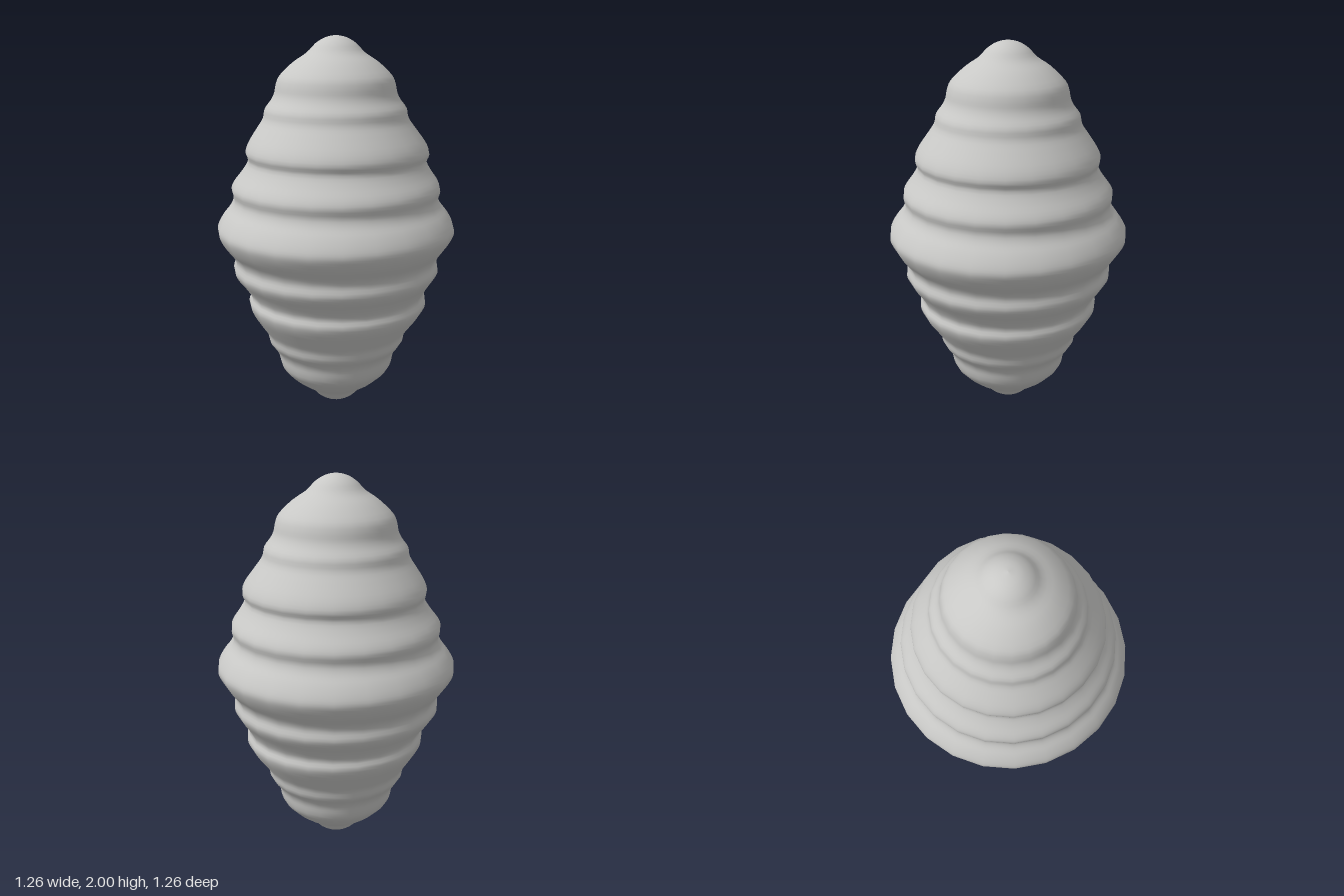
import * as THREE from 'three';

export function createModel() {
  const group = new THREE.Group();
  const stone = new THREE.MeshStandardMaterial({ color: 0xc8c8c6 });
  stone.name = 'pale grey';

  // Half profile [radius, height above the middle], rippling towards the tip
  const half = [
    [0.63, 0], [0.618, 0.04], [0.59, 0.086], [0.555, 0.13], [0.541, 0.17],
    [0.551, 0.215], [0.535, 0.256], [0.495, 0.31], [0.468, 0.362], [0.481, 0.405],
    [0.462, 0.457], [0.415, 0.526], [0.379, 0.58], [0.368, 0.63], [0.335, 0.675],
    [0.318, 0.71], [0.309, 0.754], [0.288, 0.8], [0.22, 0.865], [0.15, 0.912],
    [0.105, 0.958], [0.055, 0.988], [0, 1],
  ];
  const lower = half.slice(1).reverse().map(([r, y]) => new THREE.Vector2(r, 1 - y));
  const upper = half.map(([r, y]) => new THREE.Vector2(r, 1 + y));
  const profile = new THREE.SplineCurve([...lower, ...upper]).getPoints(132);
  profile.forEach((p) => { p.x = Math.max(p.x, 0); });
  profile[0].set(0, 0);
  profile[profile.length - 1].set(0, 2);

  // Ribbed spindle, smooth along its height with a 24-sided outline
  const geometry = new THREE.LatheGeometry(profile, 24);

  // The ribs midway to each tip sit slightly off the axis
  const pos = geometry.attributes.position;
  for (let i = 0; i < pos.count; i++) {
    const d = (Math.abs(pos.getY(i) - 1) - 0.4) / 0.1;
    const shift = Math.exp(-d * d);
    pos.setX(i, pos.getX(i) + 0.008 * shift);
    pos.setZ(i, pos.getZ(i) - 0.003 * shift);
  }

  const body = new THREE.Mesh(geometry, stone);
  body.name = 'ribbedSpindle';
  group.add(body);
  return group;
}
